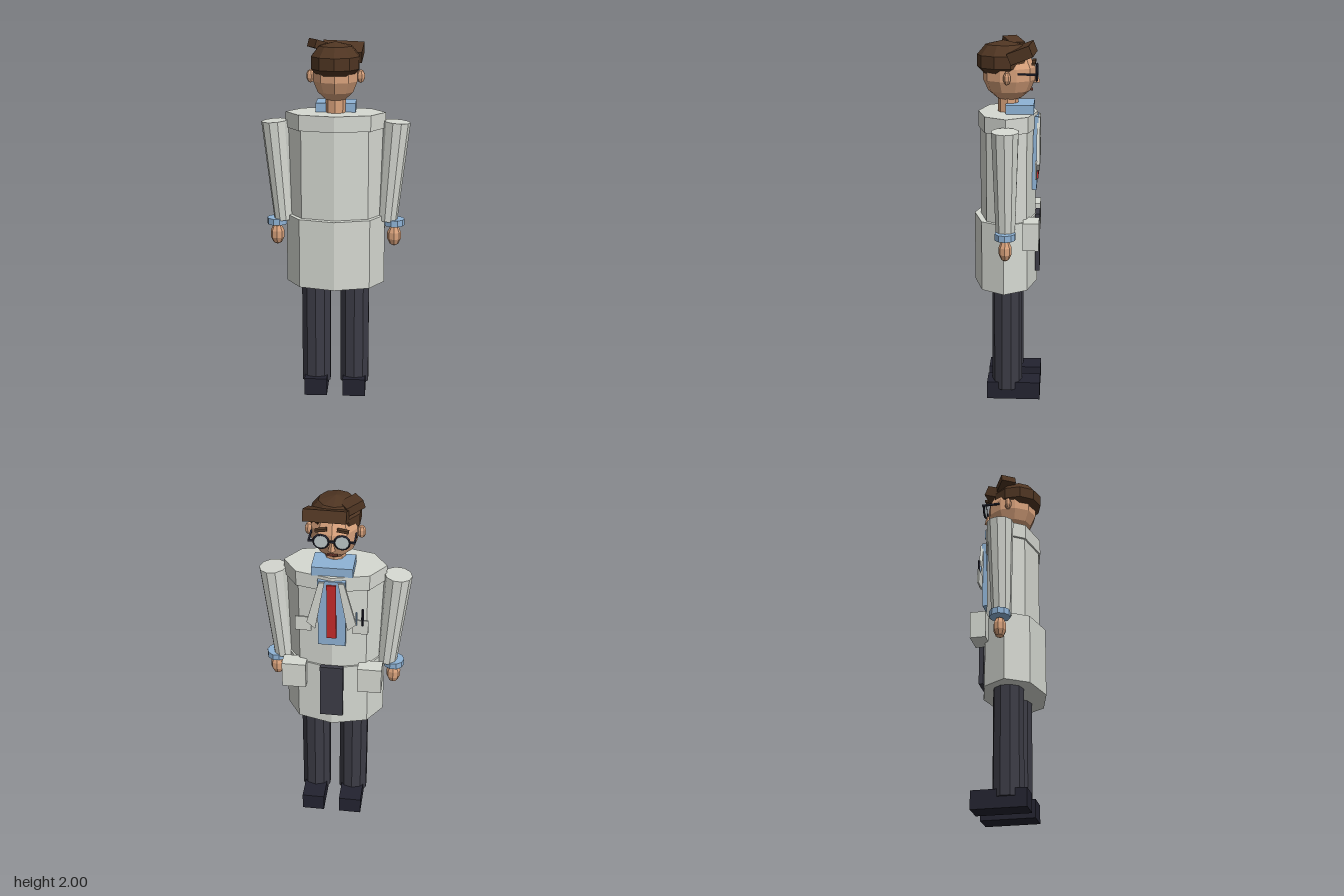
import * as THREE from 'three';

const mat = (name, color) => {
  const m = new THREE.MeshStandardMaterial({ color });
  m.name = name;
  m.flatShading = true;
  return m;
};

export function createModel() {
  const coat = mat('coat grey', 0xd6d9d2);
  const shirt = mat('shirt blue', 0x8fb3d6);
  const skin = mat('skin', 0xd9a27c);
  const hair = mat('hair brown', 0x4f3522);
  const trousers = mat('trouser charcoal', 0x3c3c46);
  const black = mat('shoe black', 0x232330);
  const red = mat('tie red', 0xc42a2a);
  const glass = mat('lens grey', 0xbcc6c8);
  const lip = mat('lip brown', 0x7a4032);

  const model = new THREE.Group();
  model.name = 'coatedMan';

  const add = (name, geo, material, pos, rot = [0, 0, 0], scale = [1, 1, 1]) => {
    const mesh = new THREE.Mesh(geo, material);
    mesh.name = name;
    mesh.position.set(...pos);
    mesh.rotation.set(...rot);
    mesh.scale.set(...scale);
    model.add(mesh);
    return mesh;
  };
  const box = (name, material, size, pos, rot) =>
    add(name, new THREE.BoxGeometry(...size), material, pos, rot);
  const tube = (rTop, rBottom, h, sides, start = 0) =>
    new THREE.CylinderGeometry(rTop, rBottom, h, sides, 1, false, start);

  // Coat: eight-sided skirt, body and shoulder yoke
  add('coatSkirt', tube(0.27, 0.27, 0.385, 8), coat, [0, 0.848, 0.011], [0, 0, 0], [1, 1, 0.64]);
  add('coatBody', tube(0.255, 0.255, 0.5, 8), coat, [0, 1.28, 0], [0, 0, 0], [1, 1, 0.59]);
  add('coatYoke', tube(0.27, 0.27, 0.085, 8), coat, [0, 1.565, 0], [0, 0, 0], [1, 1, 0.593]);

  // Shirt front, tie, collar and the dark opening below
  box('shirtFront', shirt, [0.145, 0.4, 0.026], [0, 1.39, -0.148], [-0.02, 0, 0]);
  box('tie', red, [0.05, 0.33, 0.012], [0, 1.405, -0.163], [-0.02, 0, 0]);
  box('collar', shirt, [0.215, 0.05, 0.15], [0, 1.63, -0.065]);
  box('coatOpening', trousers, [0.125, 0.325, 0.025], [0, 0.888, -0.163]);

  // Lapel outline, mirrored for each side
  const lapelGeo = (s) => {
    const pts = [[0.035, 1.585], [0.065, 1.585], [0.13, 1.34], [0.085, 1.3]];
    const shape = new THREE.Shape(pts.map(([x, y]) => new THREE.Vector2(s * x, y)));
    return new THREE.ExtrudeGeometry(shape, { depth: 0.018, bevelEnabled: false });
  };

  for (const s of [-1, 1]) {
    const side = s > 0 ? 'left' : 'right';

    // Arm, cuff and hand
    add(side + 'Sleeve', tube(0.073, 0.053, 0.55, 10, Math.PI / 2), coat,
      [s * 0.308, 1.284, 0], [0, 0, -s * 0.08]);
    add(side + 'Cuff', tube(0.056, 0.056, 0.035, 10, Math.PI / 2), shirt, [s * 0.323, 1.0, 0]);
    add(side + 'Hand', new THREE.SphereGeometry(0.04, 8, 5), skin,
      [s * 0.323, 0.923, 0], [0, 0, 0], [1, 1.5, 0.9]);

    // Leg and shoe
    add(side + 'Leg', tube(0.083, 0.083, 0.62, 10), trousers, [s * 0.108, 0.37, 0]);
    box(side + 'Shoe', black, [0.127, 0.1, 0.295], [s * 0.108, 0.05, -0.0375]);

    // Lapels and pockets
    add(side + 'Lapel', lapelGeo(s), coat, [0, 0, -0.174]);
    box(side + 'BreastPocket', coat, [0.085, 0.085, 0.009], [s * 0.15, 1.318, -0.155]);
    box(side + 'HipPocket', coat, [0.13, 0.15, 0.085], [s * 0.205, 0.98, -0.1325]);

    // Ear
    add(side + 'Ear', new THREE.SphereGeometry(0.024, 7, 5), skin,
      [s * 0.134, 1.8, 0], [0, 0, 0], [1, 1.5, 0.85]);

    // Glasses and eyebrow
    add(side + 'Rim', new THREE.TorusGeometry(0.038, 0.006, 4, 12), black, [s * 0.053, 1.815, -0.153]);
    add(side + 'Lens', tube(0.037, 0.037, 0.006, 12), glass, [s * 0.053, 1.815, -0.153], [Math.PI / 2, 0, 0]);
    box(side + 'Temple', black, [0.009, 0.01, 0.1], [s * 0.115, 1.818, -0.105]);
    box(side + 'Hinge', black, [0.032, 0.01, 0.009], [s * 0.104, 1.818, -0.152]);
    box(side + 'Eyebrow', hair, [0.06, 0.014, 0.02], [s * 0.055, 1.872, -0.137], [0, 0, -s * 0.15]);
  }

  // Pens in the breast pocket
  add('blackPen', tube(0.007, 0.007, 0.1, 4), black, [-0.162, 1.38, -0.158]);
  add('bluePen', tube(0.005, 0.005, 0.08, 4), shirt, [-0.13, 1.37, -0.158]);

  // Neck, head and face
  add('neck', tube(0.056, 0.056, 0.14, 8), skin, [0, 1.65, 0]);
  add('head', new THREE.SphereGeometry(1, 10, 7), skin, [0, 1.81, -0.005],
    [0, Math.PI / 2, 0], [0.143, 0.147, 0.127]);
  box('glassesBridge', black, [0.03, 0.01, 0.01], [0, 1.818, -0.155]);
  add('nose', tube(0.006, 0.02, 0.05, 4), skin, [0, 1.787, -0.15]);
  box('mouth', lip, [0.055, 0.009, 0.012], [0, 1.725, -0.126]);

  // Hair cap with a swept fringe and a tuft
  const capProfile = [[0, 1.805], [0.095, 1.805], [0.133, 1.845], [0.133, 1.91], [0.09, 1.963], [0, 1.985]];
  add('hairCap', new THREE.LatheGeometry(capProfile.map(([r, y]) => new THREE.Vector2(r, y)), 10), hair,
    [0, 0, 0.025], [0, 0, 0], [1, 1, 1.05]);
  box('hairFringe', hair, [0.222, 0.062, 0.125], [0.033, 1.922, -0.075], [0.37, -0.09, 0]);
  box('hairTuft', hair, [0.095, 0.045, 0.085], [-0.088, 1.96, -0.022], [0, 0.57, -0.3]);

  return model;
}
